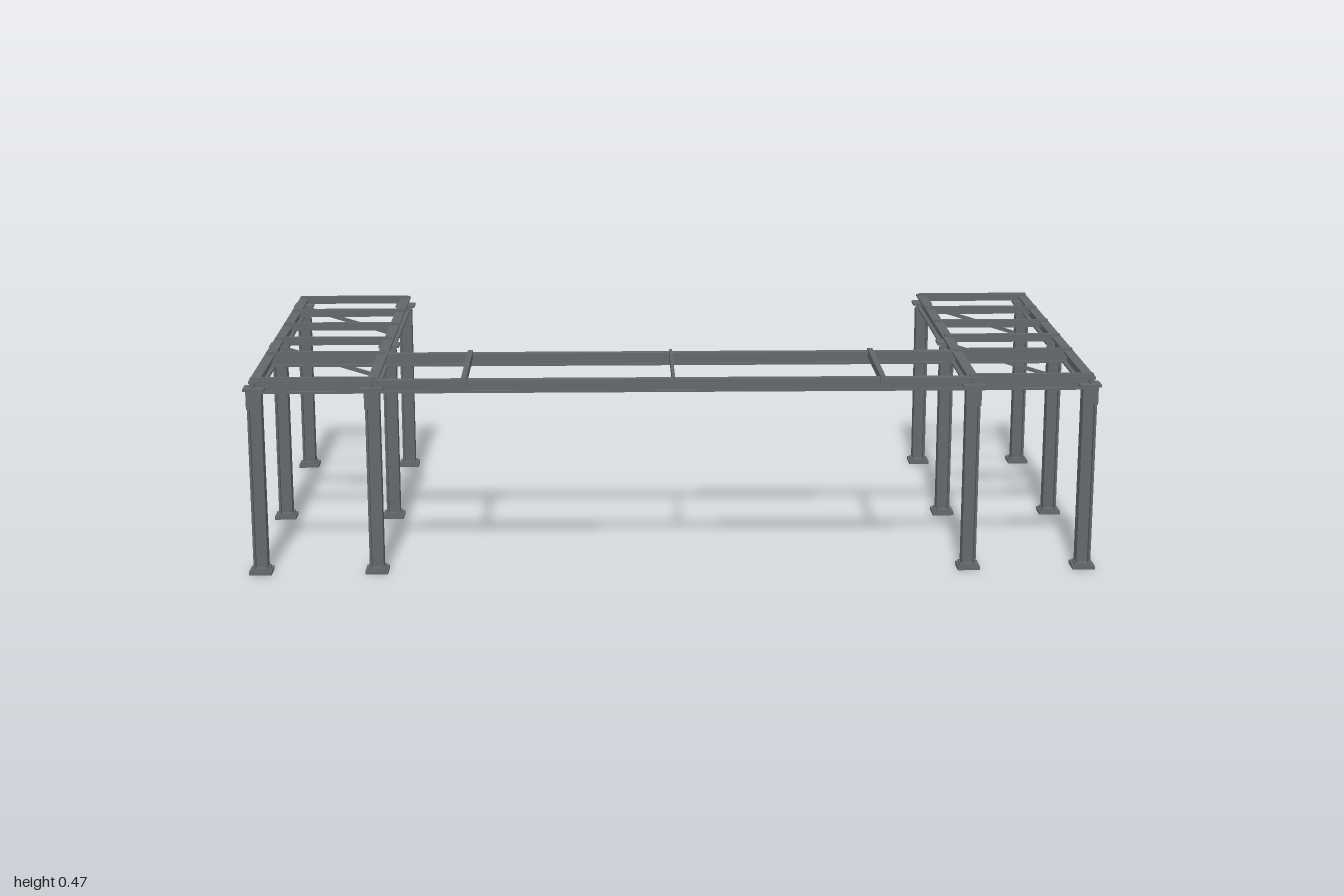
import * as THREE from 'three';

const steel = new THREE.MeshStandardMaterial({ color: 0x60676b });
steel.name = 'grey steel';

// I-section profile: flanges at top and bottom, web between
function iShape(w, h, flange, web) {
  const a = w / 2, b = h / 2, c = b - flange, d = web / 2;
  return new THREE.Shape([
    [-a, -b], [a, -b], [a, -c], [d, -c], [d, c], [a, c],
    [a, b], [-a, b], [-a, c], [-d, c], [-d, -c], [-a, -c],
  ].map(([x, y]) => new THREE.Vector2(x, y)));
}

// Centred I-section running along z
function iBar(w, h, length, flange = 0.005, web = 0.005) {
  const g = new THREE.ExtrudeGeometry(iShape(w, h, flange, web), { depth: length, bevelEnabled: false });
  return g.translate(0, 0, -length / 2);
}

export function createModel() {
  const model = new THREE.Group();
  model.name = 'steelFrame';

  const add = (parent, name, geometry, x, y, z) => {
    const mesh = new THREE.Mesh(geometry, steel);
    mesh.name = name;
    mesh.position.set(x, y, z);
    parent.add(mesh);
    return mesh;
  };
  const box = (parent, name, w, h, d, x, y, z) =>
    add(parent, name, new THREE.BoxGeometry(w, h, d), x, y, z);

  const columnX = [-0.973, -0.7, 0.7, 0.973];
  const columnZ = [0.485, 0.022, -0.481];

  // Columns with foot plates, head plates and splice brackets
  const columnGeometry = iBar(0.037, 0.033, 0.425, 0.005, 0.006).rotateX(-Math.PI / 2).rotateY(Math.PI / 2);
  for (const x of columnX) {
    for (const z of columnZ) {
      const column = new THREE.Group();
      column.name = 'column';
      column.position.set(x, 0, z);
      model.add(column);
      box(column, 'footPlate', 0.053, 0.008, 0.053, 0, 0.004, 0);
      box(column, 'footCollar', 0.042, 0.005, 0.044, 0, 0.0105, 0);
      add(column, 'post', columnGeometry, 0, 0.2205, 0);
      box(column, 'headPlate', 0.05, 0.006, 0.046, 0, 0.446, 0);
      box(column, 'bracket', 0.036, 0.046, 0.004, 0, 0.423, 0.0205);
    }
  }

  // Wing beams running front to back
  for (const x of columnX) {
    add(model, 'wingBeam', iBar(0.024, 0.033, 1.012), x, 0.4485, -0.006);
  }

  // Long beams joining both wings
  for (const z of [0.486, 0.205]) {
    add(model, 'longBeam', iBar(0.02, 0.031, 1.968).rotateY(Math.PI / 2), 0, 0.45, z);
  }

  // Cross members between the long beams
  for (const [x, w] of [[-0.487, 0.012], [0, 0.007], [0.487, 0.012]]) {
    box(model, 'crossMember', w, 0.02, 0.3, x, 0.462, 0.35);
  }

  for (const side of [-1, 1]) {
    const middle = side * 0.8365;
    // Purlins across each wing
    for (const z of [0.486, 0.21, 0.042, -0.133, -0.307, -0.483]) {
      box(model, 'purlin', 0.29, 0.02, 0.01, middle, 0.462, z);
    }
    // Sloping braces, both falling toward +x
    for (const z of [0.02, -0.481]) {
      const brace = box(model, 'brace', 0.262, 0.009, 0.009, middle, 0.399, z);
      brace.rotation.z = -Math.atan2(0.078, 0.25);
    }
  }
  return model;
}
